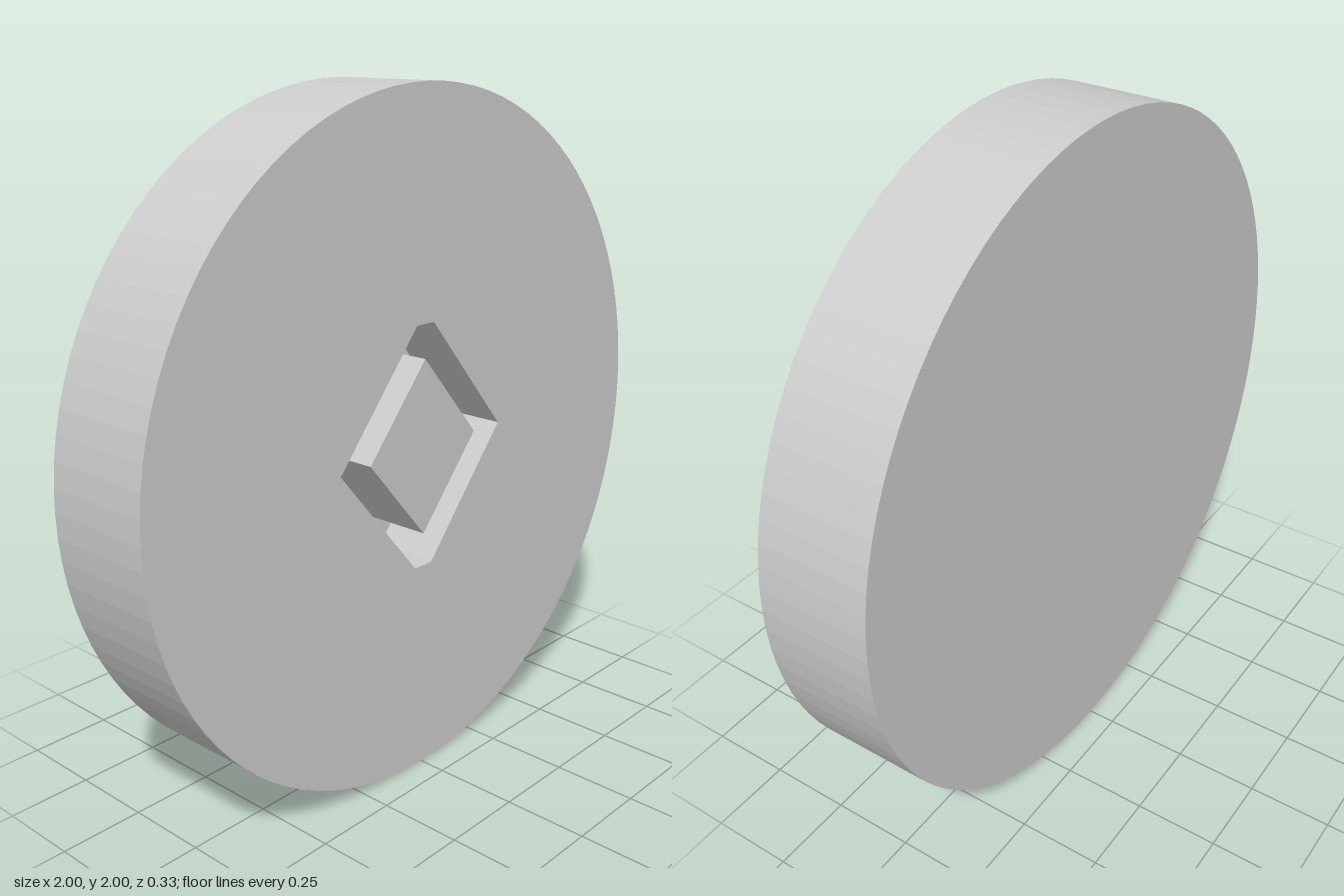
import * as THREE from 'three';
import { mergeGeometries } from 'three/addons/utils/BufferGeometryUtils.js';

const HALF = 0.167;          // half thickness of the disc
const FLOOR = HALF - 0.2;    // floor of the recess

const outline = (pairs) => pairs.map(([x, y]) => new THREE.Vector2(x, y));

// Flat face looking to +z, with an optional hole
function face(points, z, hole) {
  const shape = new THREE.Shape(points);
  if (hole) shape.holes.push(new THREE.Path(hole));
  const geo = new THREE.ShapeGeometry(shape).toNonIndexed();
  geo.deleteAttribute('uv');
  return geo.translate(0, 0, z);
}

// Straight wall along a closed outline; counter-clockwise faces outward
function wall(points, back, front) {
  const pos = [];
  points.forEach((a, i) => {
    const b = points[(i + 1) % points.length];
    pos.push(a.x, a.y, back, b.x, b.y, back, b.x, b.y, front);
    pos.push(a.x, a.y, back, b.x, b.y, front, a.x, a.y, front);
  });
  const geo = new THREE.BufferGeometry();
  geo.setAttribute('position', new THREE.Float32BufferAttribute(pos, 3));
  geo.computeVertexNormals();
  return geo;
}

export function createModel() {
  const group = new THREE.Group();
  group.name = 'disc';
  const material = new THREE.MeshStandardMaterial({ color: 0xcccccc, flatShading: true });
  const add = (name, parts) => {
    const mesh = new THREE.Mesh(mergeGeometries(parts), material);
    mesh.name = name;
    mesh.position.y = 1;
    group.add(mesh);
  };

  const sides = 96;
  const circle = Array.from({ length: sides }, (_, i) => {
    const a = (i / sides) * Math.PI * 2;
    return new THREE.Vector2(Math.cos(a), Math.sin(a));
  });
  const hexagon = outline([[0.34, 0], [0.035, 0.357], [-0.035, 0.357],
    [-0.34, 0], [-0.035, -0.357], [0.035, -0.357]]);
  const diamond = outline([[0.224, 0], [0, 0.258], [-0.224, 0], [0, -0.258]]);

  // Round body: rim, pierced front and plain back
  add('body', [
    wall(circle, -HALF, HALF),
    face(circle, HALF, hexagon),
    face(circle, HALF).rotateY(Math.PI),
  ]);

  // Six-sided recess: inward walls and the floor around the post
  add('recess', [
    wall([...hexagon].reverse(), FLOOR, HALF),
    face(hexagon, FLOOR, diamond),
  ]);

  // Diamond post, flush with the front
  add('centrePost', [
    wall(diamond, FLOOR, HALF),
    face(diamond, HALF),
  ]);

  return group;
}
